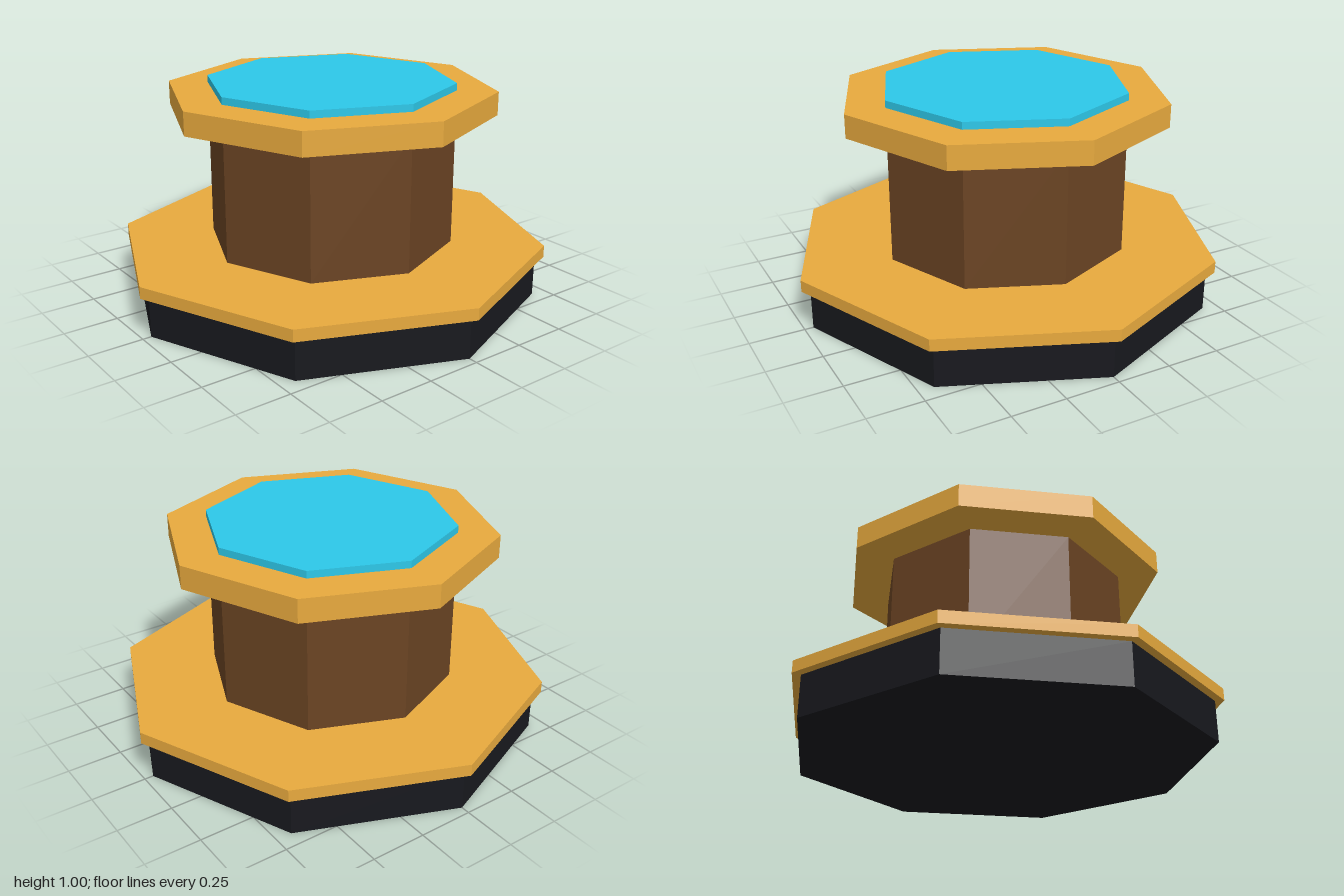
import * as THREE from 'three';

const GOLD = 0xe8aa3e, BROWN = 0x6b4423, BLACK = 0x18191e, CYAN = 0x2dc8e9;

// Octagonal tiers from the ground up: name, radius, bottom, top, colour
const TIERS = [
  ['base', 0.96, 0, 0.19, BLACK],
  ['lowerPlate', 1, 0.19, 0.245, GOLD],
  ['column', 0.57, 0.245, 0.86, BROWN],
  ['upperPlate', 0.755, 0.86, 0.967, GOLD],
  ['topInlay', 0.57, 0.967, 1, CYAN],
];

export function createModel() {
  const model = new THREE.Group();
  model.name = 'octagonalPedestal';
  for (const [name, radius, bottom, top, color] of TIERS) {
    // Corners lie on the x and z axes
    const tier = new THREE.Mesh(
      new THREE.CylinderGeometry(radius, radius, top - bottom, 8),
      new THREE.MeshStandardMaterial({ color, flatShading: true })
    );
    tier.name = name;
    tier.position.y = (bottom + top) / 2;
    model.add(tier);
  }
  return model;
}
